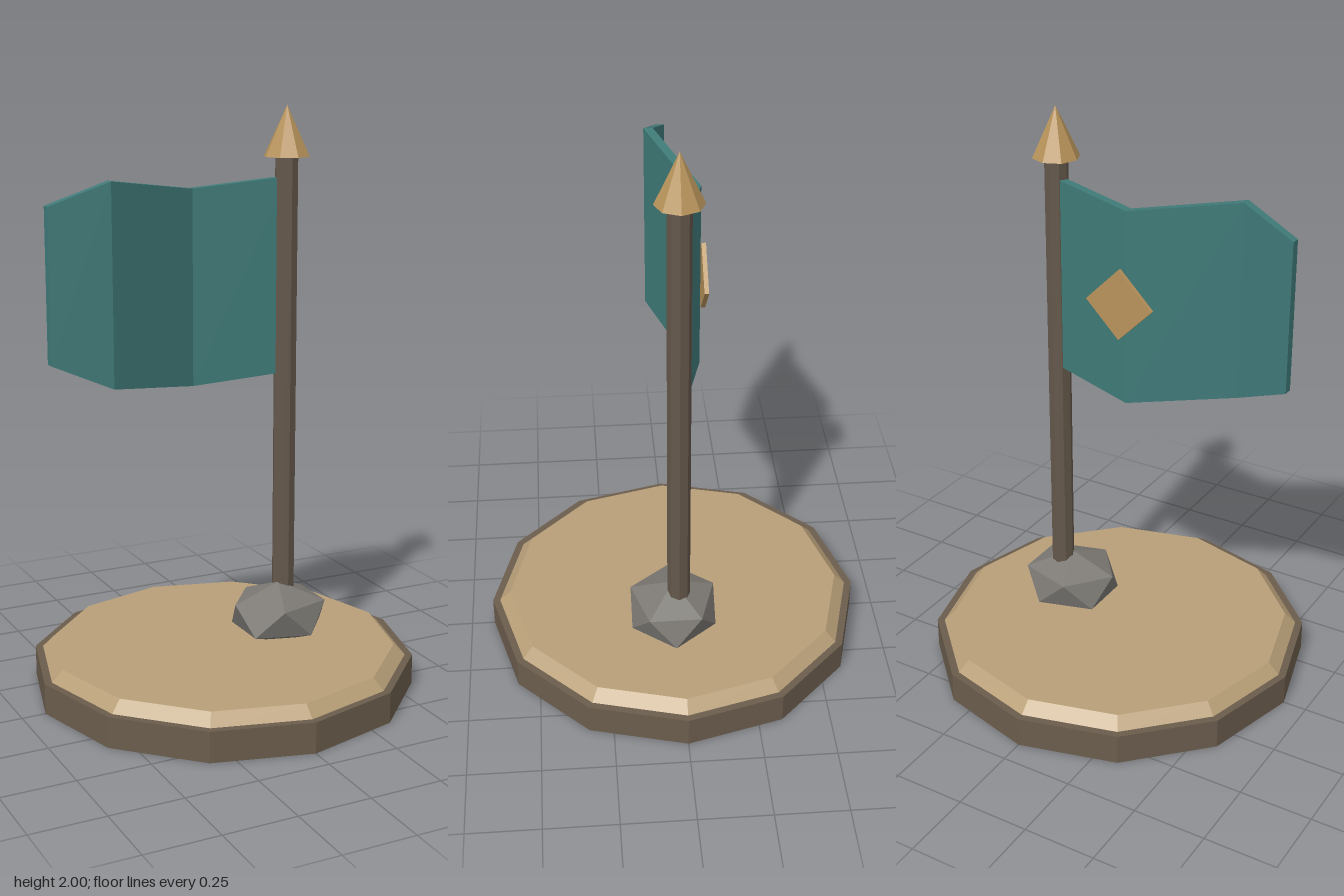
import * as THREE from 'three';

const POLE_X = 0.24;

function makeMaterial(color) {
  return new THREE.MeshStandardMaterial({ color, flatShading: true });
}

// Cloth with a rectangular cross-section swept through [x, z, bottom, top] stations
function clothGeometry(stations, thickness) {
  const h = thickness / 2;
  const positions = [];
  const index = [];
  const quad = (a, b, c, d) => index.push(a, b, c, a, c, d);
  stations.forEach(([x, z, bottom, top], i) => {
    positions.push(x, top, z + h, x, top, z - h, x, bottom, z - h, x, bottom, z + h);
    if (i === 0) return;
    const a = (i - 1) * 4;
    const b = i * 4;
    for (let k = 0; k < 4; k++) {
      const n = (k + 1) % 4;
      quad(a + n, b + n, b + k, a + k);
    }
  });
  const last = (stations.length - 1) * 4;
  quad(0, 3, 2, 1);
  quad(last, last + 1, last + 2, last + 3);

  const indexed = new THREE.BufferGeometry();
  indexed.setAttribute('position', new THREE.Float32BufferAttribute(positions, 3));
  indexed.setIndex(index);
  const geometry = indexed.toNonIndexed();
  geometry.computeVertexNormals();
  return geometry;
}

export function createModel() {
  const group = new THREE.Group();
  const darkWood = makeMaterial(0x6b5d4d);
  const sand = makeMaterial(0xb89f78);
  const poleWood = makeMaterial(0x65584b);
  const gold = makeMaterial(0xb8935a);
  const teal = makeMaterial(0x3f7a78);
  const stone = makeMaterial(0x7c7974);

  const add = (name, geometry, material, x, y, z) => {
    const mesh = new THREE.Mesh(geometry, material);
    mesh.name = name;
    mesh.position.set(x, y, z);
    group.add(mesh);
    return mesh;
  };

  // Two-tier round base
  add('basePlinth', new THREE.CylinderGeometry(0.667, 0.667, 0.107, 12), darkWood, 0, 0.0535, 0);
  add('baseTop', new THREE.CylinderGeometry(0.602, 0.642, 0.04, 12), sand, 0, 0.126, 0);

  // Pole with a pointed tip
  add('pole', new THREE.CylinderGeometry(0.04, 0.04, 1.69, 8), poleWood, POLE_X, 0.985, 0);
  add('finial', new THREE.ConeGeometry(0.08, 0.17, 8), gold, POLE_X, 1.915, 0);

  // Flattened stone, one corner straight up, sunk into the base
  const rock = new THREE.IcosahedronGeometry(1, 0);
  rock.rotateZ(Math.atan(2 / (1 + Math.sqrt(5))));
  rock.scale(0.191, 0.111, 0.174);
  add('footStone', rock, stone, 0.212, 0.225, 0.018);

  // Waving flag
  const stations = [
    [POLE_X, -0.003, 1.094, 1.764],
    [-0.08, -0.08, 1.06, 1.73],
    [-0.425, 0.052, 1.11, 1.78],
    [-0.62, 0, 1.195, 1.705],
  ];
  add('flag', clothGeometry(stations, 0.032), teal, 0, 0, 0);

  // Diamond badge on the back of the flag
  const badge = new THREE.CylinderGeometry(0.122, 0.122, 0.015, 4);
  badge.rotateX(Math.PI / 2);
  add('badge', badge, gold, -0.06, 1.412, -0.104);

  return group;
}
